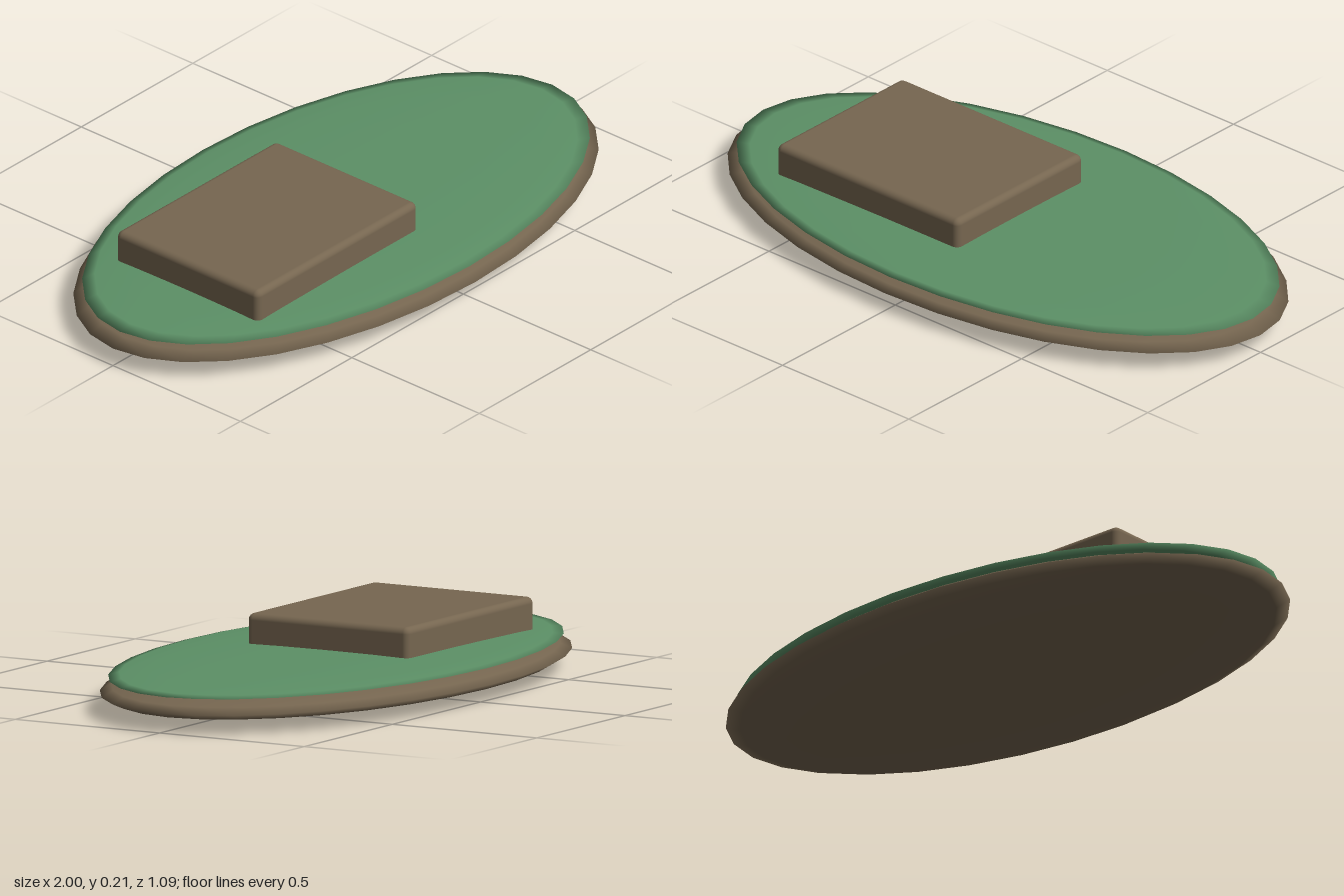
import * as THREE from 'three';
import { RoundedBoxGeometry } from 'three/addons/geometries/RoundedBoxGeometry.js';

export function createModel() {
  const group = new THREE.Group();
  const brown = new THREE.MeshStandardMaterial({ name: 'earth brown', color: 0x766650 });
  const green = new THREE.MeshStandardMaterial({ name: 'grass green', color: 0x5c9066 });

  const add = (name, geometry, material, x, y, z) => {
    const mesh = new THREE.Mesh(geometry, material);
    mesh.name = name;
    mesh.position.set(x, y, z);
    group.add(mesh);
  };
  // Flattened ellipsoid disc
  const disc = (rx, ry, rz) => new THREE.SphereGeometry(1, 32, 10).scale(rx, ry, rz);

  // Earth base with a thin grass layer on top
  add('earthBase', disc(1, 0.058, 0.546), brown, 0, 0.058, 0);
  add('grassLayer', disc(0.97, 0.018, 0.523), green, 0, 0.103, 0);

  // Raised block with softened edges, set off centre
  add('raisedBlock', new RoundedBoxGeometry(0.72, 0.13, 0.56, 3, 0.02), brown, -0.31, 0.144, 0);

  return group;
}
